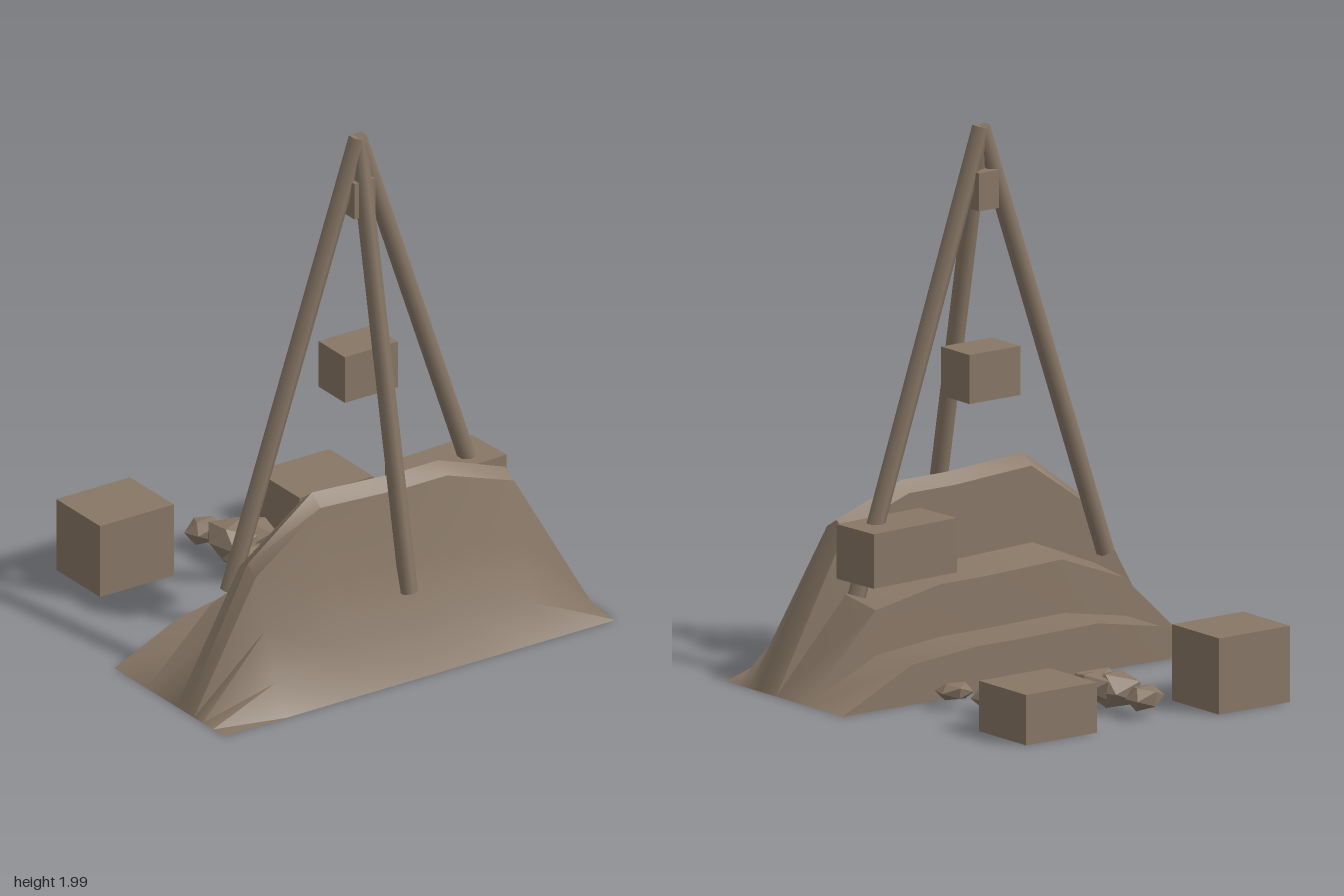
import * as THREE from 'three';
import { toCreasedNormals } from 'three/addons/utils/BufferGeometryUtils.js';

export function createModel() {
  const model = new THREE.Group();
  const earth = new THREE.MeshStandardMaterial({ color: 0x887766, side: THREE.DoubleSide });
  earth.name = 'earthBrown';

  function add(name, geometry, x = 0, y = 0, z = 0) {
    const mesh = new THREE.Mesh(geometry, earth);
    mesh.name = name;
    mesh.position.set(x, y, z);
    model.add(mesh);
    return mesh;
  }

  // Terraced mound: one [z, y] profile, scaled in height at each station [x, scale]
  const profile = [
    [0.735, 0], [0.665, 0.155], [0.6, 0.41], [0.545, 0.68], [0.49, 0.72], [0.44, 0.68],
    [0.435, 0.4], [0.26, 0.37], [0.25, 0.175], [0.05, 0.175], [0.045, 0],
  ];
  const stations = [[-0.85, 0], [-0.58, 0.71], [-0.3, 1], [0.05, 0.97], [0.25, 0.97], [0.54, 0.825], [0.85, 0]];
  const positions = [];
  const index = [];
  const n = profile.length;
  stations.forEach(([x, scale], j) => {
    profile.forEach(([z, y], i) => {
      positions.push(x, y * scale, z);
      if (j < stations.length - 1 && i < n - 1) {
        const a = j * n + i;
        const b = a + n;
        index.push(a, b, a + 1, b, b + 1, a + 1);
      }
    });
  });
  const mound = new THREE.BufferGeometry();
  mound.setAttribute('position', new THREE.Float32BufferAttribute(positions, 3));
  mound.setIndex(index);
  add('terracedMound', toCreasedNormals(mound, 0.6));

  // Tripod legs meeting at the apex
  const apex = new THREE.Vector3(0, 1.985, 0.345);
  function addLeg(name, x, y, z) {
    const foot = new THREE.Vector3(x, y, z);
    const along = apex.clone().sub(foot);
    const leg = add(name, new THREE.CylinderGeometry(0.033, 0.033, along.length(), 6));
    leg.position.copy(apex).add(foot).multiplyScalar(0.5);
    leg.quaternion.setFromUnitVectors(new THREE.Vector3(0, 1, 0), along.normalize());
  }
  addLeg('rightLeg', -0.56, 0.345, 0.345);
  addLeg('leftLeg', 0.56, 0.345, 0.345);
  addLeg('frontLeg', 0.02, 0.295, 0.635);

  // Blocks hanging in the tripod, resting on the terrace and on the ground
  const box = (w, h, d) => new THREE.BoxGeometry(w, h, d);
  add('apexBlock', box(0.09, 0.14, 0.09), 0, 1.76, 0.345);
  add('hangingBlock', box(0.23, 0.18, 0.165), 0, 1.09, 0.347);
  add('terraceCrate', box(0.39, 0.2, 0.205), 0.395, 0.5, 0.325).rotation.y = 0.05;
  add('tallCrate', box(0.32, 0.28, 0.275), -0.395, 0.14, -0.607);
  add('lowCrate', box(0.32, 0.185, 0.275), 0.438, 0.0925, -0.559);

  // Loose faceted rocks: icosahedra with seeded, uneven corners
  let seed = 7;
  const random = () => (seed = (seed * 16807) % 2147483647) / 2147483647;
  function addRock(x, y, z, rx, ry, rz, turn) {
    const g = new THREE.IcosahedronGeometry(1, 0);
    const p = g.attributes.position;
    const factors = new Map();
    const v = new THREE.Vector3();
    for (let i = 0; i < p.count; i++) {
      v.fromBufferAttribute(p, i);
      const key = v.toArray().map((c) => Math.round(c * 100)).join();
      if (!factors.has(key)) factors.set(key, 0.85 + 0.3 * random());
      v.multiplyScalar(factors.get(key));
      p.setXYZ(i, v.x * rx, v.y * ry, v.z * rz);
    }
    g.computeVertexNormals();
    add('rock', g, x, y, z).rotation.y = turn;
  }
  addRock(-0.01, 0.07, -0.6, 0.085, 0.05, 0.06, 0.2);
  addRock(0.02, 0.08, -0.46, 0.11, 0.07, 0.12, 0.4);
  addRock(0.1, 0.09, -0.43, 0.07, 0.06, 0.095, 0.1);
  addRock(0, 0.065, -0.305, 0.11, 0.055, 0.085, -0.2);
  addRock(0.4, 0.06, -0.25, 0.075, 0.05, 0.1, 0.1);
  addRock(0.455, 0.065, -0.095, 0.07, 0.035, 0.058, -0.3);

  return model;
}
